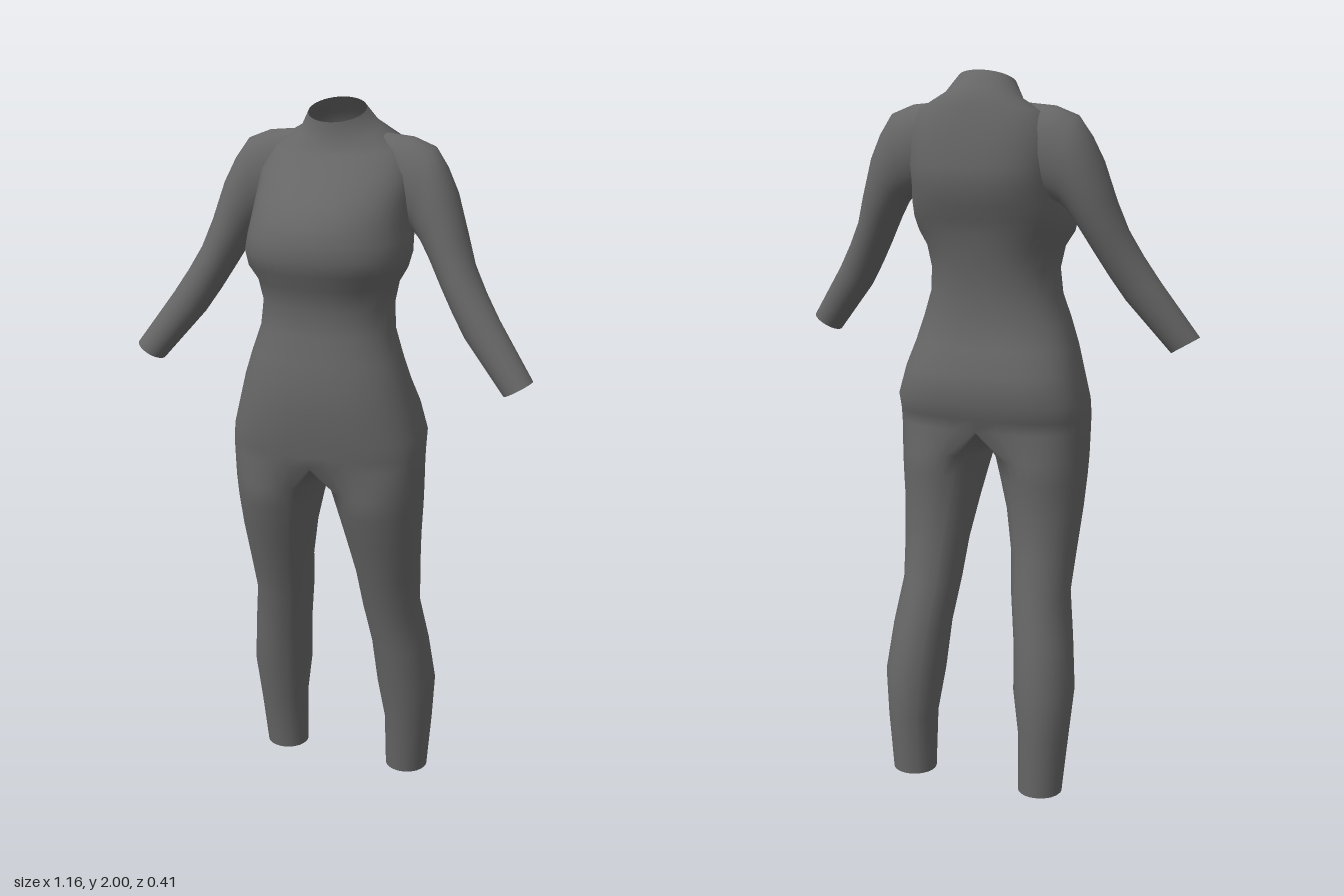
import * as THREE from 'three';
import { mergeGeometries, mergeVertices } from 'three/addons/utils/BufferGeometryUtils.js';

const N = 40; // points around every cross-section

// Skin a list of closed rings into a tube with open ends
function loft(rings, flip = false) {
  const index = [];
  for (let r = 0; r < rings.length - 1; r++) {
    for (let i = 0; i < N; i++) {
      const j = (i + 1) % N;
      const a = r * N + i, b = r * N + j, c = a + N, d = b + N;
      if (flip) index.push(a, b, c, b, d, c);
      else index.push(a, c, b, b, c, d);
    }
  }
  const g = new THREE.BufferGeometry();
  g.setAttribute('position', new THREE.Float32BufferAttribute(rings.flat(2), 3));
  g.setIndex(index);
  return g;
}

const mirror = rings => rings.map(ring => ring.map(([x, y, z]) => [-x, y, z]));
const power = (v, e) => Math.sign(v) * Math.abs(v) ** e;

// Torso, neck to hips: height, tilt, half width, front z, back z, front and back roundness
const TORSO = [
  [1.972, 0.027, 0.08, 0.02, -0.105, 1, 1],
  [1.925, 0.03, 0.11, 0.022, -0.15, 1, 1],
  [1.885, 0.025, 0.185, 0.045, -0.175, 1, 0.9],
  [1.82, 0.012, 0.212, 0.095, -0.188, 0.95, 0.8],
  [1.75, 0, 0.214, 0.155, -0.2, 0.95, 0.75],
  [1.7, 0, 0.215, 0.195, -0.194, 0.95, 0.75],
  [1.65, 0, 0.222, 0.208, -0.18, 0.93, 0.78],
  [1.61, 0, 0.226, 0.21, -0.16, 0.92, 0.8],
  [1.57, 0, 0.217, 0.2, -0.148, 0.92, 0.85],
  [1.53, 0, 0.193, 0.177, -0.138, 0.92, 0.88],
  [1.47, 0, 0.181, 0.16, -0.125, 0.92, 0.88],
  [1.4, 0, 0.187, 0.163, -0.117, 0.9, 0.88],
  [1.33, 0, 0.21, 0.18, -0.12, 0.9, 0.85],
  [1.26, 0, 0.232, 0.188, -0.132, 0.88, 0.8],
  [1.19, 0, 0.252, 0.19, -0.163, 0.85, 0.75],
  [1.11, 0, 0.273, 0.18, -0.165, 0.8, 0.72],
  [1.065, 0, 0.275, 0.172, -0.142, 0.78, 0.74],
  [1.03, 0, 0.275, 0.166, -0.135, 0.78, 0.76],
];
const torsoRings = TORSO.map(([y, tilt, rx, zf, zb, ef, eb]) =>
  Array.from({ length: N }, (_, i) => {
    const t = (i / N) * Math.PI * 2, s = Math.sin(t), c = Math.cos(t);
    const e = c > 0 ? ef : eb, k = power(c, e);
    return [rx * power(s, e), y - tilt * k, (zf + zb) / 2 + k * (zf - zb) / 2];
  }));

// Leg: height, outer x, inner x, front z, back z
const LEG = [
  [0.95, 0.275, 0.013, 0.155, -0.132],
  [0.89, 0.272, 0.03, 0.143, -0.13],
  [0.8, 0.266, 0.052, 0.115, -0.12],
  [0.68, 0.257, 0.075, 0.075, -0.13],
  [0.57, 0.25, 0.086, 0.043, -0.152],
  [0.44, 0.27, 0.105, 0.012, -0.179],
  [0.3, 0.285, 0.115, -0.01, -0.205],
  [0.17, 0.275, 0.134, -0.04, -0.2],
  [0, 0.26, 0.135, -0.065, -0.19],
];
function legRings() {
  const H = N / 2, half = torsoRings.at(-1).slice(0, H + 1);
  const front = half[0], back = half[H];
  // the first ring is half the hip ring closed along the crotch line
  const top = [...half];
  for (let i = 1; i < H; i++) {
    const t = i / H;
    top.push([0, front[1] - 0.045 * Math.sin(t * Math.PI), back[2] + (front[2] - back[2]) * t]);
  }
  const a = 0.6; // the outer half wraps a little onto the inside
  return [top, ...LEG.map(([y, xo, xi, zf, zb]) =>
    Array.from({ length: N }, (_, i) => {
      const t = i <= H ? -a + (i / H) * (Math.PI + 2 * a)
        : Math.PI + a + ((i - H) / H) * (Math.PI - 2 * a);
      return [(xo + xi) / 2 + Math.sin(t) * (xo - xi) / 2, y,
        (zf + zb) / 2 + Math.cos(t) * (zf - zb) / 2];
    }))];
}

// Arm: upper x, y, lower x, y, front z, back z
const ARM = [
  [0.13, 1.915, 0.12, 1.73, -0.01, -0.13],
  [0.205, 1.908, 0.175, 1.68, 0.004, -0.14],
  [0.265, 1.885, 0.212, 1.66, 0.008, -0.143],
  [0.3, 1.835, 0.222, 1.655, 0.014, -0.14],
  [0.332, 1.77, 0.238, 1.64, 0.02, -0.134],
  [0.366, 1.665, 0.268, 1.595, 0.027, -0.118],
  [0.394, 1.588, 0.308, 1.525, 0.038, -0.092],
  [0.432, 1.52, 0.345, 1.462, 0.047, -0.07],
  [0.475, 1.453, 0.385, 1.4, 0.056, -0.048],
  [0.58, 1.305, 0.505, 1.26, 0.075, -0.008],
];
const armRings = ARM.map(([ux, uy, lx, ly, zf, zb]) =>
  Array.from({ length: N }, (_, i) => {
    const t = (i / N) * Math.PI * 2, c = Math.cos(t) / 2;
    return [(ux + lx) / 2 + c * (ux - lx), (uy + ly) / 2 + c * (uy - ly),
      (zf + zb) / 2 - Math.sin(t) * (zf - zb) / 2];
  }));

export function createModel() {
  const group = new THREE.Group();
  group.name = 'bodysuit';
  const fabric = new THREE.MeshStandardMaterial({ color: 0x666666, side: THREE.DoubleSide });
  fabric.name = 'dark grey fabric';

  const add = (name, geometry) => {
    geometry.computeVertexNormals();
    const mesh = new THREE.Mesh(geometry, fabric);
    mesh.name = name;
    group.add(mesh);
  };

  // Torso and legs share welded hip points for a smooth join
  const legs = legRings();
  add('torsoAndLegs', mergeVertices(mergeGeometries([
    loft(torsoRings), loft(legs), loft(mirror(legs), true),
  ]), 1e-3));

  // Sleeves
  add('leftSleeve', loft(armRings));
  add('rightSleeve', loft(mirror(armRings), true));
  return group;
}
